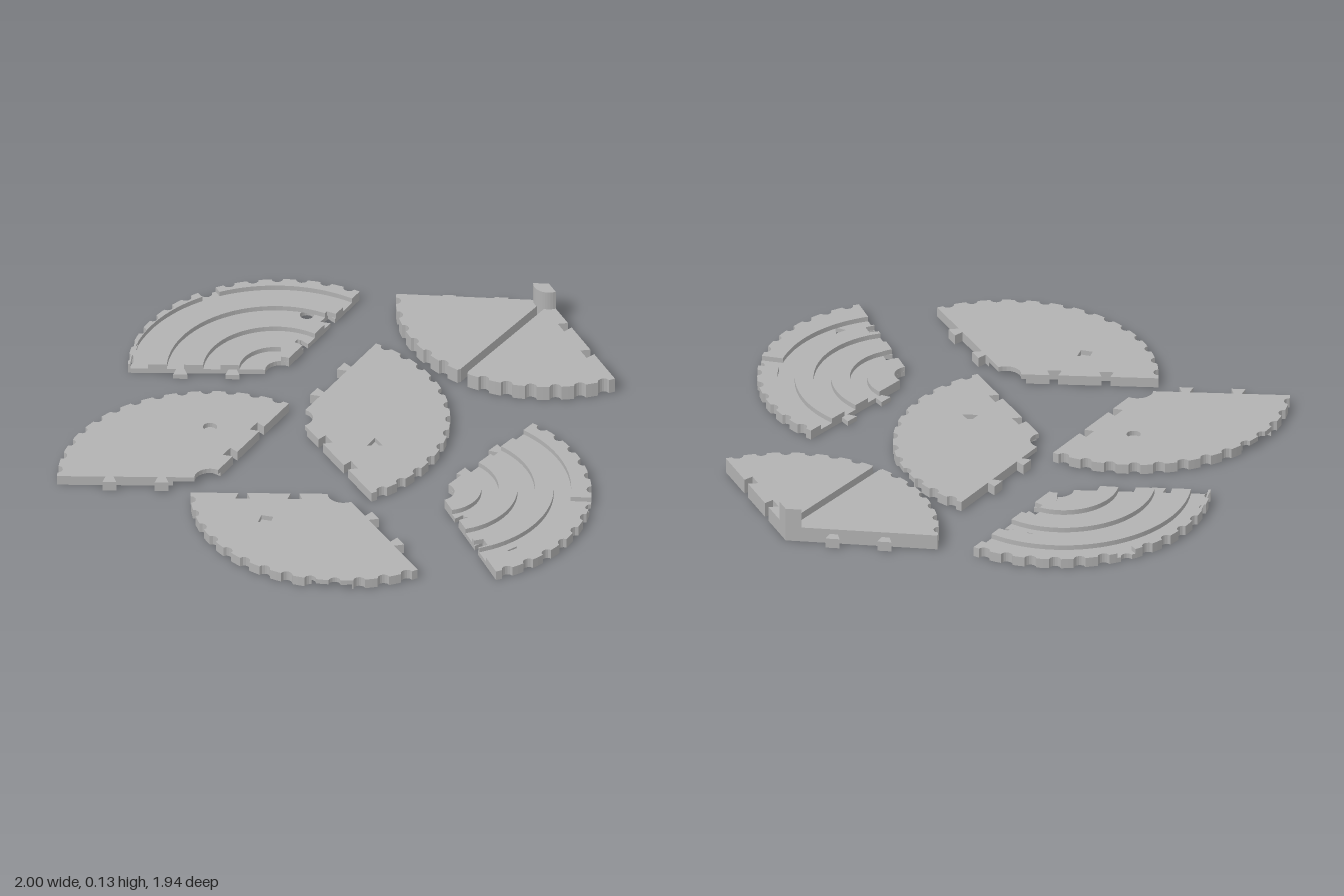
import * as THREE from 'three';

const RAD = Math.PI / 180;
const R = 0.563, HOLE = 0.058, SPAN = 120;      // sector radii and angle
const H = 0.038, HALF = 0.019;                  // plate height and layer height
const BITES = 13, BITE_R = 0.022;               // finger grips on the rim
const JOINTS = [0.178, 0.37], TAB = 0.036;      // dovetail positions and depth

const polar = (r, deg) => [r * Math.cos(deg * RAD), r * Math.sin(deg * RAD)];
const turn = ([x, y], deg) => {
  const c = Math.cos(deg * RAD), s = Math.sin(deg * RAD);
  return [x * c - y * s, x * s + y * c];
};

// Scalloped rim between two angles
function rim(a0, a1) {
  const step = SPAN / BITES, w = BITE_R / R / RAD, pts = [];
  const radius = (a) => {
    const d = (((a % step) + step) % step - step / 2) / w;
    return Math.abs(d) < 1 ? R - BITE_R * 0.85 * Math.sqrt(1 - d * d) : R;
  };
  pts.push(polar(radius(a0), a0));
  for (let i = 0; i < BITES; i++) {
    for (const k of [-1, -0.8, -0.4, 0, 0.4, 0.8, 1, step / 2 / w]) {
      const a = (i + 0.5) * step + k * w;
      if (a > a0 + 0.01 && a < a1 - 0.01) pts.push(polar(radius(a), a));
    }
  }
  pts.push(polar(radius(a1), a1));
  return pts;
}

// Whole sector: sockets on the first edge, dovetails on the last
function outline(tabs = true) {
  const pts = [[HOLE, 0]];
  for (const s of JOINTS) pts.push([s - 0.016, 0], [s - 0.027, TAB], [s + 0.027, TAB], [s + 0.016, 0]);
  pts.push(...rim(0, SPAN));
  if (tabs) for (const s of [...JOINTS].reverse()) {
    for (const p of [[s + 0.015, 0], [s + 0.026, TAB], [s - 0.026, TAB], [s - 0.015, 0]]) pts.push(turn(p, SPAN));
  }
  for (let i = 0; i <= 8; i++) pts.push(polar(HOLE, SPAN - i * SPAN / 8));
  return pts.slice(0, -1);
}

// Keep the part of a polygon where f(point) > 0
function clip(pts, f) {
  const out = [];
  pts.forEach((p, i) => {
    const q = pts[(i + 1) % pts.length], a = f(p), b = f(q);
    if (a > 0) out.push(p);
    if ((a > 0) !== (b > 0)) out.push([p[0] + (q[0] - p[0]) * a / (a - b), p[1] + (q[1] - p[1]) * a / (a - b)]);
  });
  return out;
}

// The two sides left by a radial channel
function splitByChannel(pts, deg, w) {
  const off = (p) => turn(p, -deg)[1];
  return [clip(pts, (p) => off(p) - w), clip(pts, (p) => -off(p) - w)];
}

const polygon = (sides, r, dist, deg) => {
  const [x, y] = polar(dist, deg);
  return Array.from({ length: sides }, (_, i) => {
    const [u, v] = polar(r, deg + i * 360 / sides);
    return [x + u, y + v];
  });
};

export function createModel() {
  const grey = new THREE.MeshStandardMaterial({ color: 0xb2b2b2 });
  grey.name = 'plain grey';
  const model = new THREE.Group();
  model.name = 'sectorPlates';

  const piece = (name, x, z, start) => {
    const g = new THREE.Group();
    g.name = name;
    g.position.set(x, 0, z);
    g.rotation.y = start * RAD;
    model.add(g);
    return g;
  };
  const slab = (group, name, pts, y, h, holes = []) => {
    const v = (list) => list.map(([a, b]) => new THREE.Vector2(a, b));
    const shape = new THREE.Shape(v(pts));
    for (const hole of holes) shape.holes.push(new THREE.Path(v(hole)));
    const geo = new THREE.ExtrudeGeometry(shape, { depth: h, bevelEnabled: false });
    geo.rotateX(-Math.PI / 2);
    const mesh = new THREE.Mesh(geo, grey);
    mesh.name = name;
    mesh.position.y = y;
    group.add(mesh);
  };

  // Guide plates: channel underneath, marker recess on top
  const guides = [
    ['guidePlateRound', -0.441, 0.334, 63.5, 24, 0.026],
    ['guidePlateSquare', 0.056, 0.402, 183.5, 4, 0.032],
    ['guidePlateTriangle', -0.152, -0.08, -56.5, 3, 0.034],
  ];
  for (const [name, x, z, start, sides, r] of guides) {
    const g = piece(name, x, z, start);
    slab(g, 'topLayer', outline(), HALF, H - HALF, [polygon(sides, r, 0.33, 31)]);
    for (const half of splitByChannel(outline(), 86.5, 0.075)) slab(g, 'channelSide', half, 0, HALF);
  }

  // Scroll plates: one spiral groove carried across the sectors
  const scrolls = [
    ['scrollPlateBack', -0.238, -0.412, 63.5, 31, [polygon(24, 0.026, 0.37, 16)]],
    ['scrollPlateFront', 0.404, 0.358, -63.5, SPAN, [polygon(3, 0.026, 0.36, 16), polygon(3, 0.026, 0.45, 16)]],
  ];
  for (const [name, x, z, start, innerEnd, marks] of scrolls) {
    const g = piece(name, x, z, start);
    slab(g, 'baseLayer', outline(), 0, HALF, marks);
    const outer = (a, k) => 0.519 + 0.1337 * ((start + a - 90) / 360 - k);
    const inner = (a, k) => outer(a, k) - 0.064;
    const arc = (f, a0, a1) => Array.from({ length: 33 }, (_, i) => {
      const a = a0 + (a1 - a0) * i / 32;
      return polar(Math.max(f(a), HOLE), a);
    });
    // straight first edge of a ridge, stepping around the sockets
    const firstEdge = (r0, r1) => Array.from({ length: 25 }, (_, i) => {
      const r = r0 + (r1 - r0) * i / 24;
      return [r, JOINTS.some((s) => Math.abs(r - s) < 0.022) ? TAB : 0];
    });
    // rim ridge in two parts, leaving the groove mouth open
    const mouth = 3.8;
    for (const [a0, a1] of [[0, SPAN / 2 - mouth], [SPAN / 2 + mouth, SPAN]]) {
      slab(g, 'rimRidge', [...rim(a0, a1), ...arc((a) => outer(a, 0), a1, a0)], HALF, H - HALF);
    }
    for (let k = 1; k <= 3; k++) {
      const lo = (a) => outer(a, k), hi = (a) => inner(a, k - 1);
      slab(g, 'scrollRidge', [
        ...firstEdge(Math.max(lo(0), HOLE), hi(0)),
        ...arc(hi, 0, SPAN).slice(2), ...arc(lo, SPAN, 0).slice(0, -2),
      ], HALF, H - HALF);
    }
    // closed inner end of the groove
    slab(g, 'grooveEnd', [
      ...arc((a) => Math.max(outer(a, 3), HOLE + 0.002), 0, innerEnd), ...arc(() => HOLE, innerEnd, 0),
    ], HALF, H - HALF);
  }

  // Slotted plate with a post: mirrored joints, thicker body
  const post = piece('slottedPlate', 0.714, -0.882, 300);
  const mirror = (pts) => pts.map(([x, y]) => [x, -y]);
  for (const [tabs, y, h] of [[true, 0, H], [false, H, 0.02]]) {
    const body = mirror(outline(tabs));
    for (const half of splitByChannel(body, -60, 0.016)) slab(post, 'plateSide', half, y, h);
    const off = (p) => turn(p, 60);
    let web = clip(body, (p) => 0.016 - Math.abs(off(p)[1]) > 0 || off(p)[0] < 0.075 ? 0.075 - off(p)[0] : -1);
    web = clip(clip(web, (p) => 0.016 - off(p)[1]), (p) => 0.016 + off(p)[1]);
    slab(post, 'slotEnd', web, y, h);
  }
  const wedge = [[0, 0]];
  for (let i = 0; i <= 12; i++) wedge.push(polar(HOLE, -i * SPAN / 12));
  slab(post, 'centrePost', wedge, 0, 0.133);

  return model;
}
